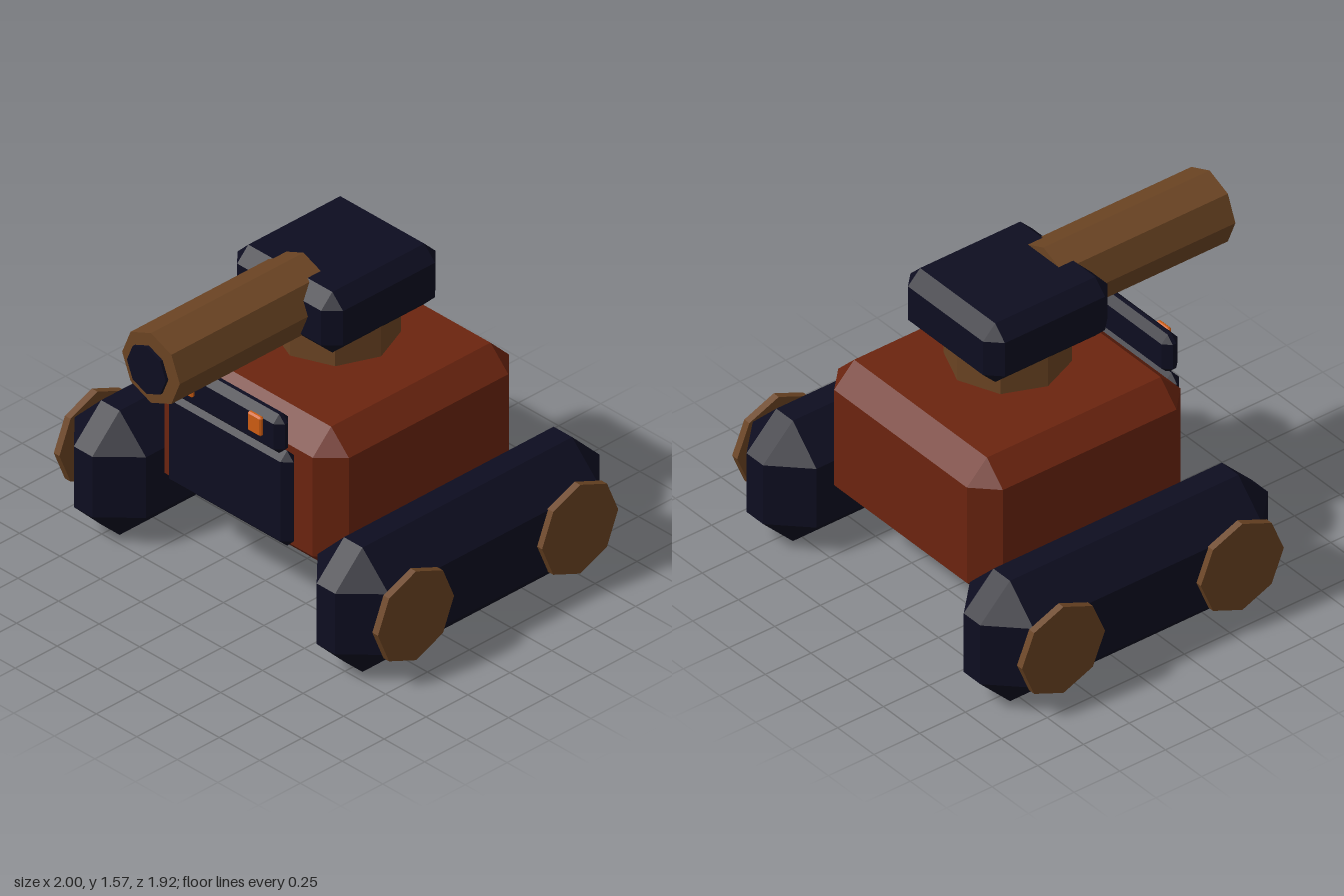
import * as THREE from 'three';
import { ConvexGeometry } from 'three/addons/geometries/ConvexGeometry.js';

const material = (name, color) => {
  const m = new THREE.MeshStandardMaterial({ color, flatShading: true });
  m.name = name;
  return m;
};

// Box between two corners with every edge cut at 45 degrees
function chamferBox([x0, y0, z0], [x1, y1, z1], c) {
  const h = [(x1 - x0) / 2, (y1 - y0) / 2, (z1 - z0) / 2];
  const points = [];
  for (const sx of [-1, 1]) for (const sy of [-1, 1]) for (const sz of [-1, 1]) {
    for (let axis = 0; axis < 3; axis++) {
      const [x, y, z] = h.map((v, i) => (i === axis ? v : v - c));
      points.push(new THREE.Vector3(sx * x, sy * y, sz * z));
    }
  }
  return new ConvexGeometry(points).translate((x0 + x1) / 2, (y0 + y1) / 2, (z0 + z1) / 2);
}

const octagon = (radius, length) => new THREE.CylinderGeometry(radius, radius, length, 8);

export function createModel() {
  const navy = material('navy', 0x0d0d20);
  const rust = material('rust', 0x6b240f);
  const brown = material('brown', 0x6b4423);
  const orange = material('orange', 0xcc5c12);

  const model = new THREE.Group();
  model.name = 'turretRobot';
  const add = (name, geometry, mat) => {
    const mesh = new THREE.Mesh(geometry, mat);
    mesh.name = name;
    model.add(mesh);
  };

  // Hull and front plates
  add('body', chamferBox([-0.568, 0.3, -0.76], [0.568, 1.024, 0.41], 0.11), rust);
  add('frontPanel', chamferBox([-0.383, 0.43, 0.41], [0.383, 0.915, 0.492], 0.04), navy);
  add('visor', chamferBox([-0.35, 0.9, 0.418], [0.35, 1.098, 0.507], 0.035), navy);

  // Turret
  add('neck', octagon(0.277, 0.2).translate(0, 1.185, -0.173), brown);
  add('turretHead', chamferBox([-0.326, 1.22, -0.514], [0.326, 1.53, 0.168], 0.067), navy);
  add('barrel', octagon(0.178, 0.91).rotateX(Math.PI / 2).translate(0, 1.396, 0.477), brown);
  add('muzzle', octagon(0.12, 0.015).rotateX(Math.PI / 2).translate(0, 1.396, 0.952), navy);

  // Mirrored eyes, tracks and wheel hubs
  for (const [side, s] of [['left', 1], ['right', -1]]) {
    const eye = chamferBox([-0.042, 0.973, 0.5], [0.042, 1.071, 0.525], 0.008);
    add(side + 'Eye', eye.translate(s * 0.212, 0, 0), orange);

    const track = chamferBox([-0.22, 0, -0.963], [0.22, 0.636, 0.613], 0.163);
    add(side + 'Track', track.translate(s * 0.749, 0, 0), navy);

    for (const [end, z] of [['Front', 0.318], ['Rear', -0.661]]) {
      const hub = octagon(0.227, 0.035).rotateZ(Math.PI / 2);
      add(side + end + 'Hub', hub.translate(s * 0.9825, 0.318, z), brown);
    }
  }
  return model;
}
